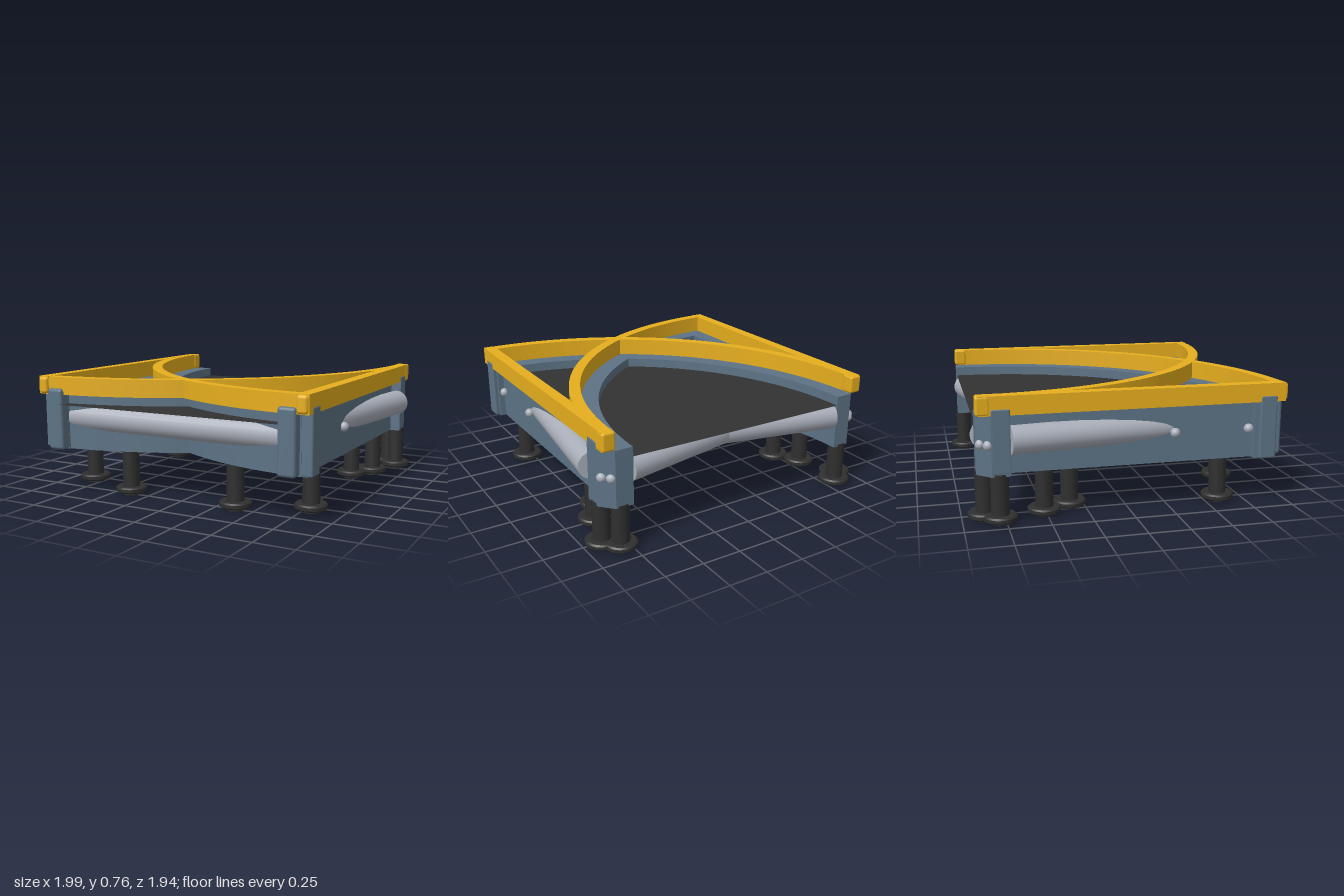
import * as THREE from 'three';
import { toCreasedNormals } from 'three/addons/utils/BufferGeometryUtils.js';
import { RoundedBoxGeometry } from 'three/addons/geometries/RoundedBoxGeometry.js';

export function createModel() {
  const group = new THREE.Group();
  const mat = (name, color, extra = {}) => {
    const m = new THREE.MeshStandardMaterial({ color, ...extra });
    m.name = name;
    return m;
  };
  const yellow = mat('yellow rail', 0xe6ae1e);
  const blue = mat('slate blue frame', 0x5d7385);
  const silver = mat('silver tube', 0xa9aeb9);
  const black = mat('black rubber', 0x2f2f2f);
  const dark = mat('dark deck', 0x323232, { side: THREE.DoubleSide });

  const add = (name, geo, material, x = 0, y = 0, z = 0) => {
    const mesh = new THREE.Mesh(geo, material);
    mesh.name = name;
    mesh.position.set(x, y, z);
    group.add(mesh);
    return mesh;
  };
  // Box given by its limits, optionally with rounded edges
  const block = (name, material, x0, x1, y0, y1, z0, z1, r = 0) => {
    const w = Math.abs(x1 - x0), h = y1 - y0, d = z1 - z0;
    const geo = r ? new RoundedBoxGeometry(w, h, d, 3, r) : new THREE.BoxGeometry(w, h, d);
    return add(name, geo, material, (x0 + x1) / 2, (y0 + y1) / 2, (z0 + z1) / 2);
  };
  // Upright prism over a floor outline of [x, z] points
  const prism = (name, material, outline, y0, y1) => {
    const shape = new THREE.Shape(outline.map(([x, z]) => new THREE.Vector2(x, -z)));
    const geo = new THREE.ExtrudeGeometry(shape, { depth: y1 - y0, bevelEnabled: false });
    geo.rotateX(-Math.PI / 2);
    add(name, toCreasedNormals(geo, 0.5), material, 0, y0, 0);
  };
  // Quarter-circle beam centred near a back corner
  const arc = (name, material, s, rIn, rOut, y0, y1) => {
    const pts = [], n = 40;
    const put = (r, i) => {
      const a = Math.PI + (i / n) * Math.PI / 2;
      pts.push([s * (0.91 + r * Math.cos(a)), -0.893 - r * Math.sin(a)]);
    };
    for (let i = 0; i <= n; i++) put(rOut, i);
    for (let i = n; i >= 0; i--) put(rIn, i);
    prism(name, material, pts, y0, y1);
  };
  // Straight round tubes through a list of [x, z] points
  const tubes = (name, points, r = 0.084, y = 0.494) => {
    for (let i = 0; i < points.length - 1; i++) {
      const a = new THREE.Vector3(points[i][0], y, points[i][1]);
      const b = new THREE.Vector3(points[i + 1][0], y, points[i + 1][1]);
      const dir = b.clone().sub(a);
      const mesh = add(name, new THREE.CylinderGeometry(r, r, dir.length(), 24), silver);
      mesh.position.copy(a).add(b).multiplyScalar(0.5);
      mesh.quaternion.setFromUnitVectors(new THREE.Vector3(0, 1, 0), dir.normalize());
    }
  };

  // Deck sheet
  const deckGeo = new THREE.PlaneGeometry(1.53, 1.88);
  deckGeo.rotateX(-Math.PI / 2);
  add('deck', deckGeo, dark, 0, 0.582, 0.03);

  // Foot with a stem, pad and small nub
  const footProfile = [[0, 0], [0.055, 0], [0.055, 0.018], [0.09, 0.018], [0.1, 0.027], [0.1, 0.047],
    [0.09, 0.056], [0.054, 0.056], [0.054, 0.3], [0, 0.3]].map(p => new THREE.Vector2(...p));
  const footGeo = toCreasedNormals(new THREE.LatheGeometry(footProfile, 24), 0.6);
  const boltGeo = new THREE.SphereGeometry(0.03, 16, 12);

  for (const s of [-1, 1]) {
    // Curved crossing beams and rails
    arc('curvedBeam', blue, s, 1.66, 1.79, 0.288, 0.642);
    arc('curvedRail', yellow, s, 1.772, 1.842, 0.642, 0.754);

    // Side beam and rail, with rounded rail ends
    block('sideBeam', blue, s * 0.75, s * 0.87, 0.288, 0.642, -0.9, 0.9);
    block('sideRail', yellow, s * 0.862, s * 0.935, 0.642, 0.755, -0.9, 0.95);
    block('railFrontCap', yellow, s * 0.862, s * 0.93, 0.645, 0.752, 0.89, 0.97, 0.02);
    block('railBackCap', yellow, s * 0.855, s * 0.938, 0.642, 0.756, -0.914, -0.832, 0.015);

    // Front corner posts
    block('frontPost', blue, s * 0.75, s * 0.862, 0.288, 0.68, 0.885, 0.968, 0.02);
    block('frontSidePost', blue, s * 0.865, s * 0.938, 0.288, 0.68, 0.79, 0.9, 0.012);

    // Back corner post with a chamfered outer corner
    prism('backPost', blue, [[0.75, -0.912], [0.862, -0.912], [0.938, -0.83], [0.938, -0.72], [0.75, -0.72]]
      .map(([x, z]) => [s * x, z]), 0.288, 0.642);
    block('backSidePost', blue, s * 0.87, s * 0.939, 0.3, 0.68, -0.83, -0.719, 0.01);

    // Tubes leaving the corners, running inwards and crossing under the deck
    tubes('sideTube', [[s * 0.911, -0.722], [s * 0.72, 0.78]]);
    tubes('backTube', [[s * 0.76, -0.852], [0, -0.69]]);
    tubes('innerTube', [[s * 0.76, -0.76], [s * 0.48, 0.1], [s * 0.22, 0.36], [0, 0.36]]);
    tubes('innerFrontTube', [[s * 0.48, 0.1], [s * 0.72, 0.75]]);
    tubes('crossTube', [[s * 0.78, -0.7], [s * -0.48, 0.1]]);

    // Bolts
    for (const [x, z] of [[0.58, 0.872], [0.88, 0.74], [0.88, 0.27], [0.915, -0.845], [0.875, -0.885]])
      add('bolt', boltGeo, silver, s * x, 0.47, z).scale.setScalar(x < 0.6 ? 0.75 : 1);

    // Feet
    for (const [x, z] of [[0.38, 0.745], [0.8, 0.58], [0.715, -0.345], [0.81, -0.515], [0.895, -0.785], [0.815, -0.868]])
      add('foot', footGeo, black, s * x, 0, z);
  }

  // Straight front tube and tube joints
  tubes('frontTube', [[-0.82, 0.815], [0.82, 0.815]]);
  const jointGeo = new THREE.SphereGeometry(0.084, 20, 14);
  for (const [x, z] of [[0, -0.69], [0.48, 0.1], [-0.48, 0.1], [0.22, 0.36], [-0.22, 0.36]])
    add('tubeJoint', jointGeo, silver, x, 0.494, z);

  return group;
}
